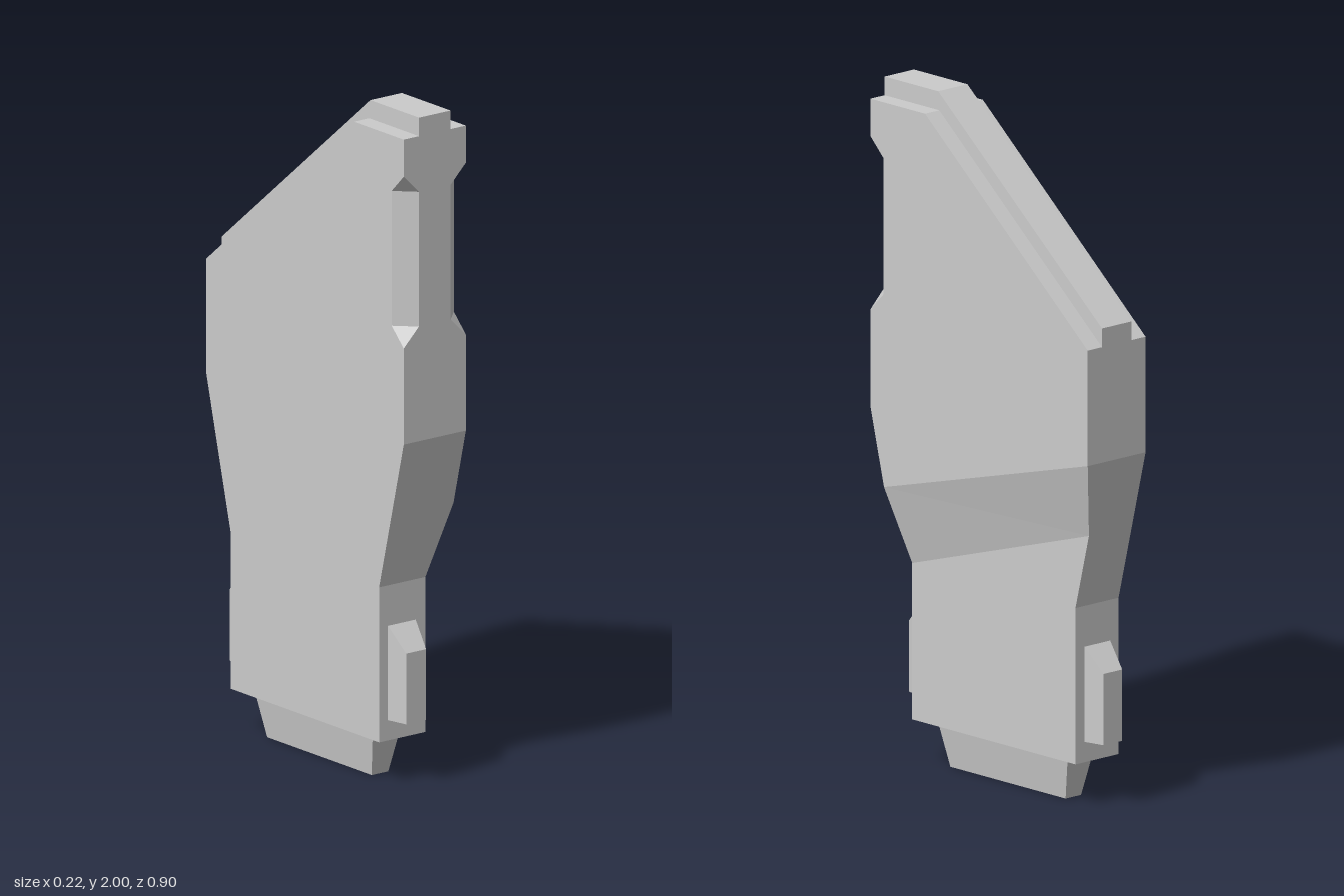
import * as THREE from 'three';

const W = 0.1125;   // half thickness of the upper body
const Z = 0.4525;   // half depth of the upper body
const CX = -0.03;   // centre line of the thin lower body

const material = new THREE.MeshStandardMaterial({ color: 0xcccccc, flatShading: true });

function addPart(group, name, geometry) {
  const mesh = new THREE.Mesh(geometry, material);
  mesh.name = name;
  group.add(mesh);
}

// Closed polygon in (z, y), extruded symmetrically along x
function sidePlate(points, width) {
  const shape = new THREE.Shape(points.map(([z, y]) => new THREE.Vector2(z, y)));
  const g = new THREE.ExtrudeGeometry(shape, { depth: width, bevelEnabled: false });
  return g.rotateY(-Math.PI / 2).translate(width / 2, 0, 0);
}

// Unit box whose corners are placed by a rule taking the corner signs
function shapedBox(rule) {
  const g = new THREE.BoxGeometry(2, 2, 2).toNonIndexed();
  const p = g.attributes.position;
  for (let i = 0; i < p.count; i++) p.setXYZ(i, ...rule(p.getX(i), p.getY(i), p.getZ(i)));
  g.computeVertexNormals();
  return g;
}

// Six-cornered section; c chamfers the two front corners
function section(y, z, xFront, xBack, c = 0) {
  const yBack = Math.min(y, 1.38);
  return [
    [xFront - c, y, z], [xFront, y, z - c], [xBack, yBack, -z],
    [-W, yBack, -z], [-W, y, z - c], [-W + c, y, z],
  ].map((v) => new THREE.Vector3(...v));
}

// Skin between successive sections, closed at the bottom
function loft(rings) {
  const pts = [];
  const tri = (a, b, c) => {
    const area = b.clone().sub(a).cross(c.clone().sub(a)).length();
    if (area > 1e-7) pts.push(a, b, c);
  };
  for (let k = 0; k < rings.length - 1; k++) {
    const a = rings[k], b = rings[k + 1];
    for (let i = 0; i < 6; i++) {
      const j = (i + 1) % 6;
      tri(a[i], a[j], b[j]);
      tri(a[i], b[j], b[i]);
    }
  }
  for (let i = 1; i < 5; i++) tri(rings[0][0], rings[0][i + 1], rings[0][i]);
  const g = new THREE.BufferGeometry().setFromPoints(pts);
  g.computeVertexNormals();
  return g;
}

export function createModel() {
  const group = new THREE.Group();
  group.name = 'slantedPlate';

  // Main body: thin foot, diagonal thickening band, notched front corners
  const thin = 0.055, notch = 0.055;
  addPart(group, 'body', loft([
    section(0.13, 0.34, thin, thin),
    section(0.59, 0.34, thin, thin),
    section(0.813, 0.396, W, thin),
    section(1.04, Z, W, W),
    section(1.325, Z, W, W),
    section(1.38, Z, W, W, notch),
    section(1.78, Z, W, W, notch),
    section(1.835, Z, W, W),
  ]));

  // Sloping shoulder that completes the body
  addPart(group, 'shoulder', sidePlate(
    [[Z, 1.835], [Z, 1.945], [0.225, 1.945], [-Z, 1.38]], 2 * W));

  // Narrow rail along the top edge
  addPart(group, 'topRail', sidePlate(
    [[Z, 1.945], [Z, 2], [0.23, 2], [-Z, 1.435], [-Z, 1.38], [0.225, 1.945]], 0.114));

  // Tapered tab under the foot
  addPart(group, 'bottomTab', shapedBox((x, y, z) => (y > 0
    ? [CX + 0.05 * x, 0.13, 0.27 * z]
    : [CX + 0.03 * x, 0, 0.24 * z])));

  // Wedge-topped clips on the front and back of the foot
  for (const [name, side] of [['frontClip', 1], ['backClip', -1]]) {
    addPart(group, name, shapedBox((x, y, z) => {
      const outer = z * side > 0;
      const top = outer ? 0.4 : 0.47;
      return [CX + (outer ? 0.036 : 0.05) * x, y > 0 ? top : 0.19, side * (outer ? 0.405 : 0.34)];
    }));
  }
  return group;
}
